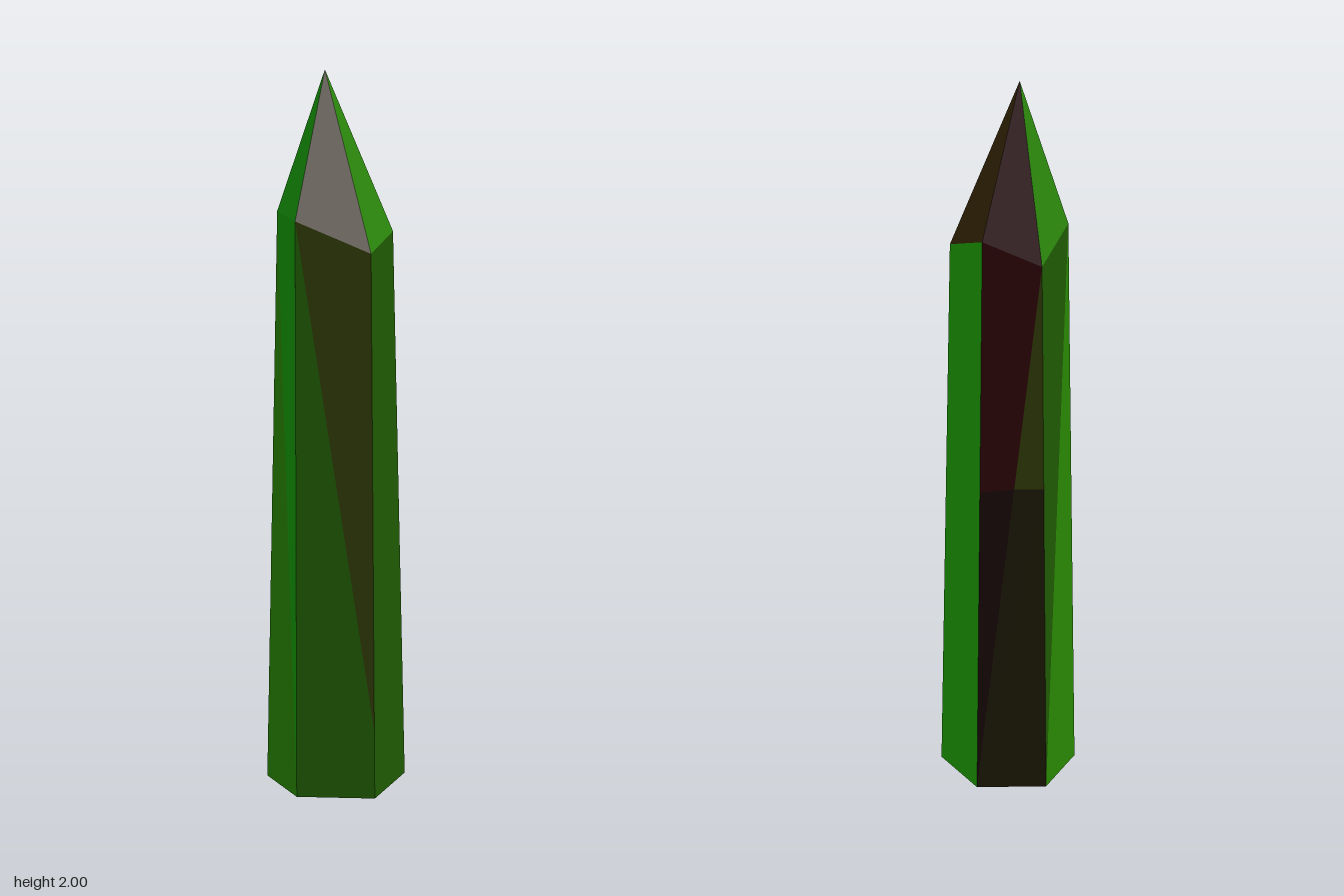
import * as THREE from 'three';

const mat = (name, color) => Object.assign(new THREE.MeshStandardMaterial({ color }), { name });

export function createModel() {
  const green = mat('moss green', 0x1f5803);
  const leaf = mat('leaf green', 0x149604);
  const bright = mat('bright green', 0x1ea302);
  const mid = mat('grass green', 0x278403);
  const olive = mat('olive', 0x2d3604);
  const brown = mat('brown', 0x362703);
  const red = mat('dark red', 0x2a0305);
  const maroon = mat('black maroon', 0x180606);
  const dark = mat('dark umber', 0x1a1704);

  const group = new THREE.Group();
  group.name = 'crystal';
  const v = (x, y, z) => new THREE.Vector3(x, y, z);

  // Flat convex facet, corners counter-clockwise from outside
  function facet(name, material, ...corners) {
    const points = [];
    for (let i = 1; i < corners.length - 1; i++) points.push(corners[0], corners[i], corners[i + 1]);
    const geometry = new THREE.BufferGeometry().setFromPoints(points);
    geometry.computeVertexNormals();
    const mesh = new THREE.Mesh(geometry, material);
    mesh.name = name;
    group.add(mesh);
  }

  // Base ring, shoulder ring and apex
  const base = [[-0.2, 0.005], [-0.113, 0.157], [0.106, 0.172], [0.2, -0.01], [0.088, -0.174], [-0.113, -0.167]]
    .map(([x, z]) => v(x, 0, z));
  const top = [v(-0.16, 1.625, 0.005), v(-0.11, 1.605, 0.15), v(0.09, 1.52, 0.15),
    v(0.155, 1.57, -0.005), v(0.065, 1.605, -0.13), v(-0.09, 1.54, -0.13)];
  const apex = v(-0.03, 2, -0.02);
  const [A, B, C, D, E, F] = base;
  const [a, b, c, d, e, f] = top;

  // Pointed tip
  [leaf, brown, mid, brown, red, mid].forEach((m, i) =>
    facet('tipFacet', m, top[i], top[(i + 1) % 6], apex));

  // Front left side
  facet('frontLeftLower', mid, A, B, a);
  facet('frontLeftUpper', leaf, B, b, a);

  // Front side, split along a diagonal
  const split = C.clone().lerp(c, 0.13);
  facet('frontLower', green, B, C, split, b);
  facet('frontUpper', olive, split, c, b);

  // Plain right-hand sides
  facet('sideFront', green, C, D, d, c);
  facet('sideBack', bright, D, E, e, d);

  // Back side, split by a diagonal and a level band
  const p = E.clone().lerp(e, 0.57);
  const q = F.clone().lerp(f, 0.6);
  const s = E.clone().lerp(f, 0.6);
  facet('backLowerLeft', maroon, E, s, p);
  facet('backLowerRight', dark, E, F, q, s);
  facet('backUpperLeft', red, p, s, f, e);
  facet('backUpperRight', olive, s, q, f);

  // Back left side
  facet('backLeftLower', mid, F, A, a);
  facet('backLeftUpper', green, F, a, f);

  // Underside, fanned from one corner
  facet('underside', dark, C, E, D);
  facet('underside', green, C, F, E);
  facet('underside', dark, C, A, F);
  facet('underside', green, C, B, A);

  return group;
}
